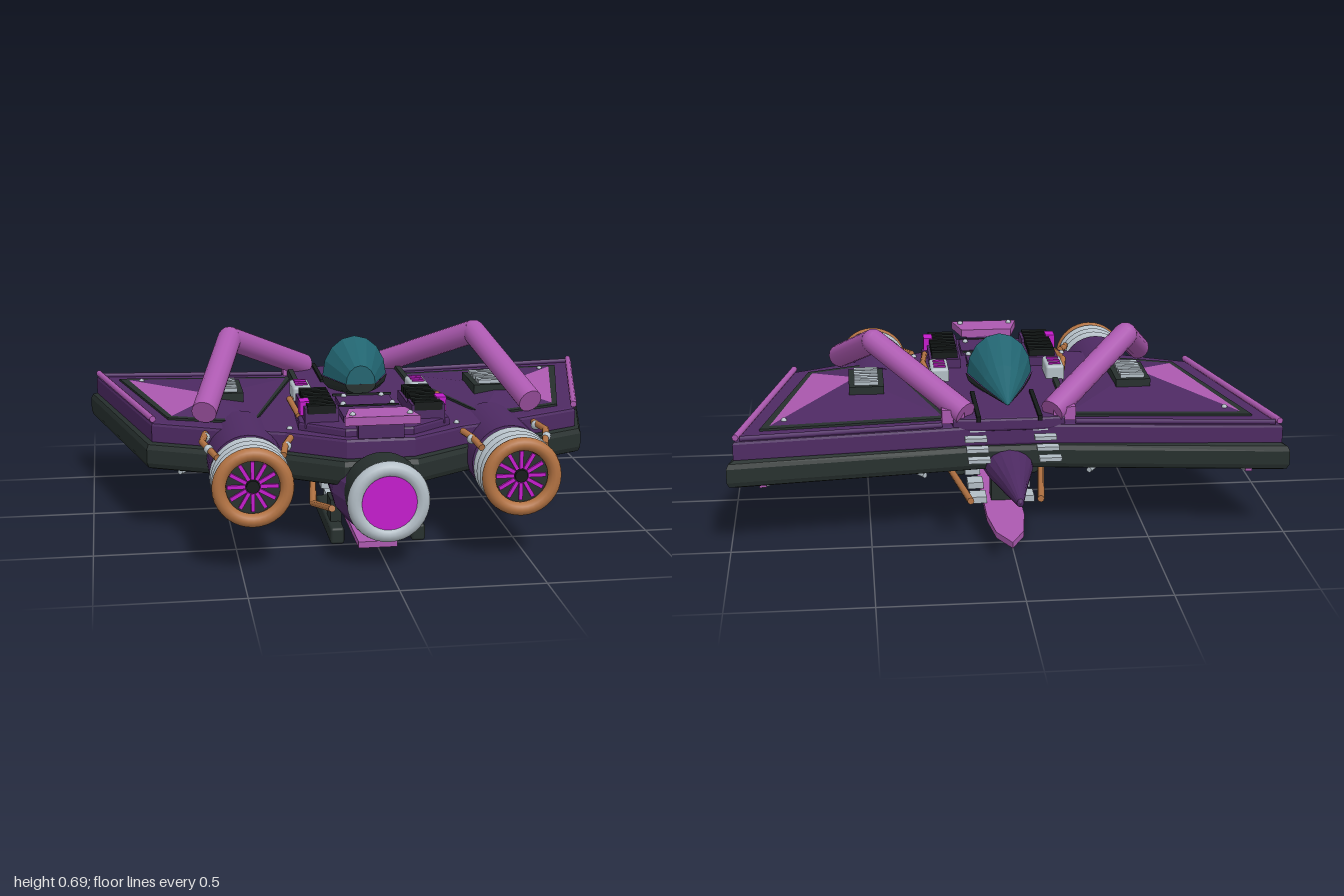
import * as THREE from 'three';
import { RoundedBoxGeometry } from 'three/addons/geometries/RoundedBoxGeometry.js';

const paint = (name, color) => Object.assign(new THREE.MeshStandardMaterial({ color }), { name });

export function createModel() {
  const model = new THREE.Group();
  model.name = 'starfighter';
  const purple = paint('purple hull', 0x4e2a63), dark = paint('dark hull', 0x27302e);
  const pink = paint('pink trim', 0xac59b0), magenta = paint('magenta glow', 0xc41bcc);
  const silver = paint('silver', 0xb3bec6), copper = paint('copper', 0xb27242);
  const teal = paint('teal glass', 0x216470), slate = paint('slate panel', 0x3a444c);
  const black = paint('black grille', 0x151a19);

  const add = (name, geo, mat, x = 0, y = 0, z = 0) => {
    const m = new THREE.Mesh(geo, mat);
    m.name = name;
    m.position.set(x, y, z);
    model.add(m);
    return m;
  };
  const box = (name, mat, w, h, d, x, y, z) => add(name, new THREE.BoxGeometry(w, h, d), mat, x, y, z);
  const V = (p) => new THREE.Vector3(...p);

  // Round bar between two points
  const rod = (name, mat, a, b, r, sides = 8) => {
    const A = V(a), B = V(b), d = B.clone().sub(A);
    const m = add(name, new THREE.CylinderGeometry(r, r, d.length(), sides), mat);
    m.position.copy(A).add(B).multiplyScalar(0.5);
    m.quaternion.setFromUnitVectors(new THREE.Vector3(0, 1, 0), d.normalize());
  };
  // Bent pipe through several points, with ball joints
  const pipe = (name, mat, pts, r, sides = 8) => pts.forEach((p, i) => {
    if (i) rod(name, mat, pts[i - 1], p, r, sides);
    if (i && i < pts.length - 1) add(name + 'Joint', new THREE.SphereGeometry(r, sides, 8), mat, ...p);
  });
  // Horizontal plate from [x, z] points between two heights
  const slab = (name, mat, pts, y0, y1, bevel = 0) => {
    const shape = new THREE.Shape(pts.map(([x, z]) => new THREE.Vector2(x, -z)));
    const geo = new THREE.ExtrudeGeometry(shape, {
      depth: y1 - y0 - 2 * bevel, bevelEnabled: bevel > 0, bevelThickness: bevel,
      bevelSize: bevel, bevelOffset: -bevel, bevelSegments: 2,
    });
    geo.rotateX(-Math.PI / 2);
    return add(name, geo, mat, 0, y0 + bevel, 0);
  };
  const mirrored = (pts) => [...pts, ...pts.slice().reverse().map(([x, z]) => [-x, z])];
  // Skin over elliptical sections [z, centre y, half width, half height]
  const loft = (name, mat, secs, a0, a1, n, flat) => {
    const pos = [], idx = [];
    secs.forEach(([z, y, w, h], i) => {
      for (let j = 0; j <= n; j++) {
        const a = a0 + ((a1 - a0) * j) / n;
        pos.push(w * Math.cos(a), y + h * Math.sin(a), z);
        if (i && j) {
          const c = i * (n + 1) + j, p = c - n - 1;
          idx.push(p - 1, p, c, p - 1, c, c - 1);
        }
      }
    });
    let geo = new THREE.BufferGeometry();
    geo.setAttribute('position', new THREE.Float32BufferAttribute(pos, 3));
    geo.setIndex(idx);
    if (flat) geo = geo.toNonIndexed();
    geo.computeVertexNormals();
    return add(name, geo, mat);
  };
  const alongZ = (r, len, sides = 32) => new THREE.CylinderGeometry(r, r, len, sides).rotateX(Math.PI / 2);

  // Wing body: dark lower layer and purple upper layer
  slab('lowerHull', dark, mirrored([[0.1, -0.43], [1, -0.53], [0.8, 0.3], [0.55, 0.42], [0.33, 0.5], [0.13, 0.63]]), 0.25, 0.35, 0.025);
  slab('upperHull', purple, mirrored([[0.12, -0.42], [0.975, -0.505], [0.78, 0.285], [0.54, 0.4], [0.32, 0.48], [0.12, 0.61]]), 0.34, 0.42, 0.012);
  slab('deck', purple, mirrored([[0.1, -0.43], [0.2, -0.42], [0.25, 0], [0.27, 0.46], [0.12, 0.58]]), 0.4, 0.45, 0.01);

  // Fuselage with long nose
  loft('fuselage', purple, [[-0.81, 0.275, 0.001, 0.001], [-0.805, 0.275, 0.012, 0.015], [-0.63, 0.268, 0.044, 0.044], [-0.45, 0.262, 0.083, 0.065],
    [-0.1, 0.25, 0.125, 0.095], [0.3, 0.235, 0.165, 0.125], [0.58, 0.225, 0.17, 0.14], [0.7, 0.22, 0.13, 0.14], [0.701, 0.22, 0.001, 0.001]],
  Math.PI / 2, Math.PI * 2.5, 16, true);

  // Central engine
  add('mainNozzle', alongZ(0.137, 0.15), dark, 0, 0.24, 0.71);
  add('mainNozzleRing', new THREE.TorusGeometry(0.115, 0.028, 12, 36), silver, 0, 0.24, 0.775);
  add('mainGlow', alongZ(0.095, 0.008), magenta, 0, 0.24, 0.79);

  // Cockpit
  const cabin = [[-0.38, 0.48, 0.002, 0.002], [-0.2, 0.495, 0.075, 0.08], [-0.04, 0.5, 0.122, 0.15], [0.13, 0.5, 0.055, 0.07], [0.131, 0.5, 0.001, 0.001]];
  loft('canopy', teal, cabin, 0, Math.PI, 8, true);
  loft('cockpitBase', dark, cabin.map(([z, y, w, h]) => [z, y, w * 1.04, h * 0.55]), Math.PI, 2 * Math.PI, 8, true);

  // Centre deck panels and tail plate
  box('deckPanelFront', purple, 0.2, 0.02, 0.16, 0, 0.455, 0.24);
  box('deckPanelRear', purple, 0.23, 0.03, 0.15, 0, 0.455, 0.42);
  for (const z of [0.155, 0.33, 0.5]) box('panelSeam', dark, 0.22, 0.008, 0.008, 0, 0.468, z);
  slab('tailPlate', pink, mirrored([[0.1, 0.515], [0.132, 0.645]]), 0.475, 0.505);
  box('tailPlateMount', purple, 0.16, 0.06, 0.1, 0, 0.45, 0.565);

  // Belly skid and its strut
  slab('skid', pink, [[0, -0.56], [0.05, -0.46], [0.07, -0.3], [0.07, 0.55], [-0.07, 0.55], [-0.07, -0.3], [-0.05, -0.46]], 0.002, 0.025);
  box('skidStrut', dark, 0.08, 0.17, 0.085, 0, 0.11, -0.11);
  box('skidStrutRear', dark, 0.08, 0.1, 0.1, 0, 0.07, 0.35);

  for (const s of [1, -1]) {
    const side = (pts) => pts.map(([x, ...rest]) => [s * x, ...rest]);

    // Raised wing panel: dark rim, low pyramid with a pink outer face
    slab('panelRim', dark, side([[0.885, -0.405], [0.72, 0.25], [0.42, 0.36], [0.21, -0.345]]), 0.415, 0.428);
    const [A, B, C, D, P] = side([[0.85, 0.429, -0.375], [0.705, 0.429, 0.23], [0.42, 0.429, 0.335], [0.235, 0.429, -0.32], [0.54, 0.462, 0.06]]);
    [[A, B, pink], [B, C, purple], [C, D, purple], [D, A, purple]].forEach(([a, b, mat]) => {
      const geo = new THREE.BufferGeometry().setFromPoints((s > 0 ? [a, P, b] : [b, P, a]).map(V));
      geo.computeVertexNormals();
      add(mat === pink ? 'pinkWingFace' : 'wingFace', geo, mat);
    });
    rod('wingEdgeStrip', pink, [s * 0.965, 0.432, -0.5], [s * 0.775, 0.432, 0.28], 0.012);
    rod('wingFrontStrip', purple, [s * 0.95, 0.425, -0.49], [s * 0.24, 0.425, -0.415], 0.01);

    // Wing vent
    box('wingVent', dark, 0.13, 0.035, 0.22, s * 0.5, 0.46, 0);
    for (let i = 0; i < 5; i++) box('ventSlat', silver, 0.09, 0.016, 0.022, s * 0.5, 0.483, -0.08 + i * 0.04);

    // Big bent pipe over the wing
    pipe('overwingPipe', pink, side([[0.155, 0.462, -0.405], [0.47, 0.645, -0.08], [0.595, 0.465, 0.34]]), 0.045, 16);
    box('pipeMount', pink, 0.08, 0.05, 0.06, s * 0.2, 0.455, -0.385);

    // Deck blocks: ladder grille, breaker box, glow lights
    box('grilleBase', purple, 0.12, 0.05, 0.3, s * 0.19, 0.46, 0.33);
    box('grilleEnd', purple, 0.12, 0.07, 0.1, s * 0.19, 0.465, 0.43);
    for (let i = 0; i < 7; i++) box('grilleBar', black, 0.1, 0.03, 0.026, s * 0.19, 0.495, 0.21 + i * 0.043);
    add('breakerBox', new RoundedBoxGeometry(0.07, 0.06, 0.14, 2, 0.01), silver, s * 0.22, 0.47, 0.08);
    for (let i = 0; i < 3; i++) box('breakerSlit', magenta, 0.045, 0.006, 0.014, s * 0.22, 0.502, 0.04 + i * 0.035);
    box('deckLight', magenta, 0.035, 0.05, 0.06, s * 0.245, 0.49, 0.405);
    box('deckChannel', dark, 0.02, 0.03, 0.36, s * 0.215, 0.45, -0.2);
    box('deckChannelInner', black, 0.015, 0.02, 0.3, s * 0.11, 0.45, -0.29);
    pipe('deckPipe', copper, side([[0.26, 0.45, 0.12], [0.275, 0.47, 0.2], [0.26, 0.45, 0.38]]), 0.011);
    for (const [x, y, z] of [[0.09, 0.468, 0.3], [0.09, 0.472, 0.46], [0.1, 0.506, 0.61], [0.07, 0.466, 0.17], [0.8, 0.432, -0.33], [0.3, 0.42, 0.44]])
      add('rivet', new THREE.SphereGeometry(0.011, 8, 6), silver, s * x, y, z);

    // Floating rungs beside the nose
    for (let i = 0; i < 4; i++) box('noseRung', silver, 0.078, 0.014, 0.036, s * 0.124, 0.365 + i * 0.013, -0.62 + i * 0.072);

    // Side engines
    const ex = s * 0.46, ey = 0.31;
    add('engineBody', alongZ(0.132, 0.35), purple, ex, ey, 0.415);
    add('engineNozzle', alongZ(0.12, 0.18), dark, ex, ey, 0.67);
    for (const z of [0.635, 0.685, 0.735]) add('engineRing', new THREE.TorusGeometry(0.122, 0.016, 10, 36), silver, ex, ey, z);
    add('engineLip', new THREE.TorusGeometry(0.115, 0.024, 12, 36), copper, ex, ey, 0.776);
    for (let i = 0; i < 12; i++) {
      const a = (i * Math.PI) / 6;
      box('turbineBlade', magenta, 0.062, 0.013, 0.012, ex + 0.056 * Math.cos(a), ey + 0.056 * Math.sin(a), 0.763).rotation.z = a;
    }
    add('turbineHub', alongZ(0.022, 0.02, 16), black, ex, ey, 0.765);
    pipe('engineOuterPipe', copper, side([[0.595, 0.4, 0.39], [0.612, 0.4, 0.5], [0.57, 0.385, 0.66]]), 0.012);
    pipe('engineInnerPipe', copper, side([[0.305, 0.41, 0.52], [0.33, 0.4, 0.58], [0.345, 0.385, 0.66]]), 0.012);
    for (const [x, z] of [[0.595, 0.42], [0.595, 0.58], [0.325, 0.58]])
      add('pipeClamp', new THREE.SphereGeometry(0.017, 8, 6), silver, s * x, 0.395, z);

    // Wing underside: panel, crossing struts, pod
    slab('undersidePanel', slate, side([[0.14, -0.35], [0.87, -0.43], [0.72, 0.23], [0.52, 0.32], [0.14, 0.32]]), 0.243, 0.252);
    rod('undersideStrut', silver, [s * 0.88, 0.222, -0.41], [s * 0.2, 0.222, 0.3], 0.014);
    rod('undersideStrut', silver, [s * 0.3, 0.215, -0.36], [s * 0.68, 0.215, 0.22], 0.01);
    box('strutFoot', pink, 0.025, 0.025, 0.04, s * 0.88, 0.225, -0.4);
    box('underPod', pink, 0.1, 0.075, 0.25, s * 0.51, 0.19, -0.005);
    add('podSensor', new RoundedBoxGeometry(0.07, 0.06, 0.085, 3, 0.025), silver, s * 0.51, 0.128, -0.01);

    // Belly boxes, feet and lower pipes
    add('bellyBox', new RoundedBoxGeometry(0.05, 0.06, 0.42, 2, 0.01), dark, s * 0.145, 0.05, 0.34);
    box('bellyBoxHanger', dark, 0.04, 0.1, 0.1, s * 0.14, 0.11, 0.42);
    for (const z of [0.15, 0, -0.15]) box('skidClamp', silver, 0.06, 0.025, 0.07, s * 0.09, 0.04, z);
    pipe('lowerPipe', copper, side([[0.165, 0.155, 0.555], [0.185, 0.055, 0.16], [0.13, 0.088, -0.31]]), 0.013);
  }
  return model;
}
